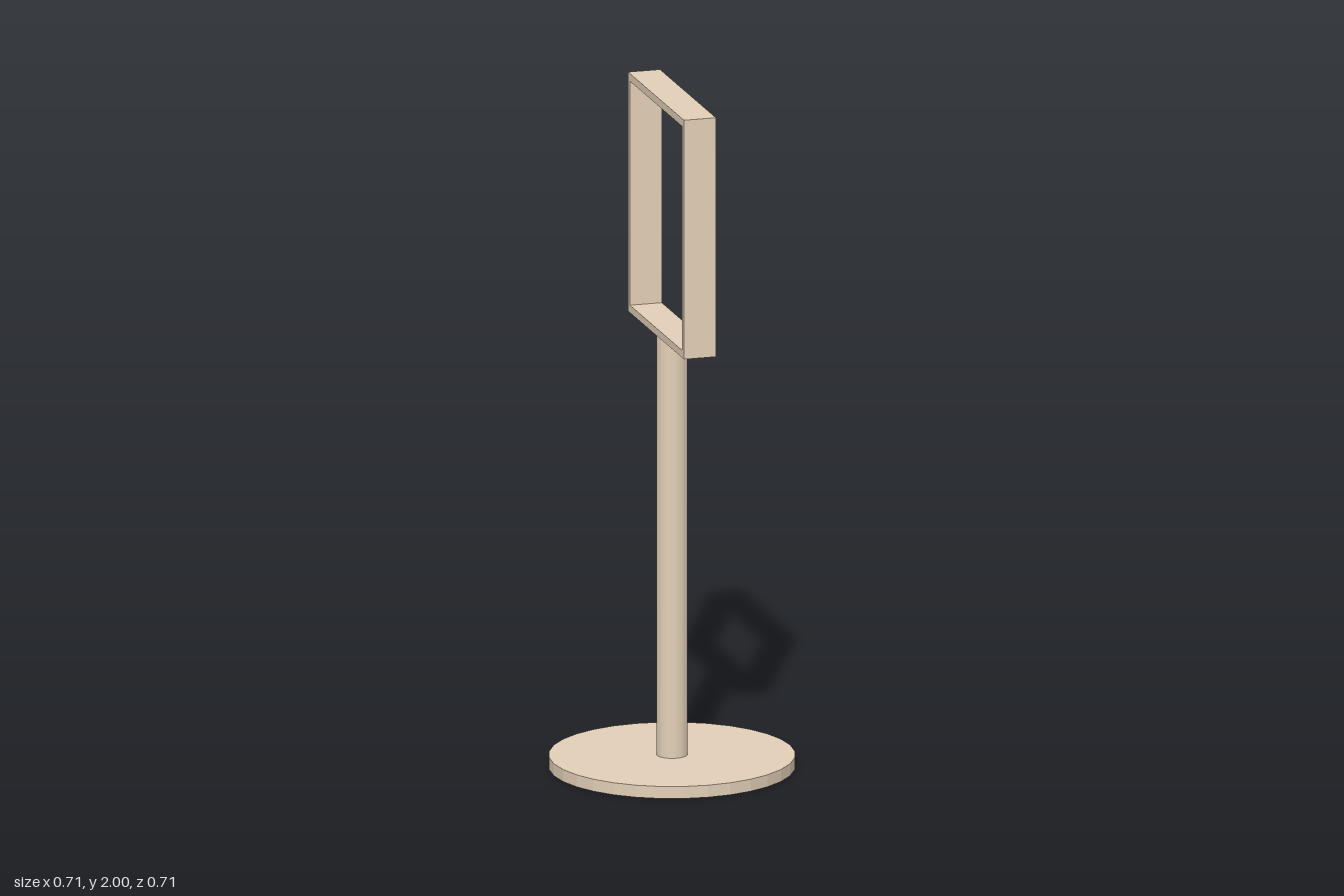
import * as THREE from 'three';

export function createModel() {
  const model = new THREE.Group();
  const material = new THREE.MeshStandardMaterial({ color: 0xe3d0b8, flatShading: true });
  const shellMaterial = material.clone();
  shellMaterial.side = THREE.DoubleSide;

  const BASE_R = 0.355, BASE_H = 0.036, POLE_R = 0.045;
  const FRAME_BOTTOM = 1.288, SIDES = 32;

  const add = (name, geometry, mat) => {
    const mesh = new THREE.Mesh(geometry, mat);
    mesh.name = name;
    model.add(mesh);
  };

  // Round foot: a thin shell, open underneath, with a hole below the pole
  const profile = [[BASE_R, 0], [BASE_R, BASE_H], [POLE_R, BASE_H]]
    .map(([r, y]) => new THREE.Vector2(r, y));
  add('base', new THREE.LatheGeometry(profile, SIDES), shellMaterial);

  // Hollow pole standing on the foot
  const poleHeight = FRAME_BOTTOM - BASE_H;
  const pole = new THREE.CylinderGeometry(POLE_R, POLE_R, poleHeight, SIDES, 1, true);
  pole.translate(0, BASE_H + poleHeight / 2, 0);
  add('pole', pole, shellMaterial);

  // Rectangular sign frame, open along x
  const rectangle = (PathType, halfWidth, bottom, top) => new PathType([
    [-halfWidth, bottom], [halfWidth, bottom], [halfWidth, top], [-halfWidth, top],
  ].map(([x, y]) => new THREE.Vector2(x, y)));
  const outline = rectangle(THREE.Shape, 0.277, FRAME_BOTTOM, 2);
  outline.holes.push(rectangle(THREE.Path, 0.259, 1.31, 1.977));
  const frame = new THREE.ExtrudeGeometry(outline, { depth: 0.096, bevelEnabled: false });
  frame.translate(0, 0, -0.048);
  frame.rotateY(Math.PI / 2);
  add('signFrame', frame, material);

  return model;
}
